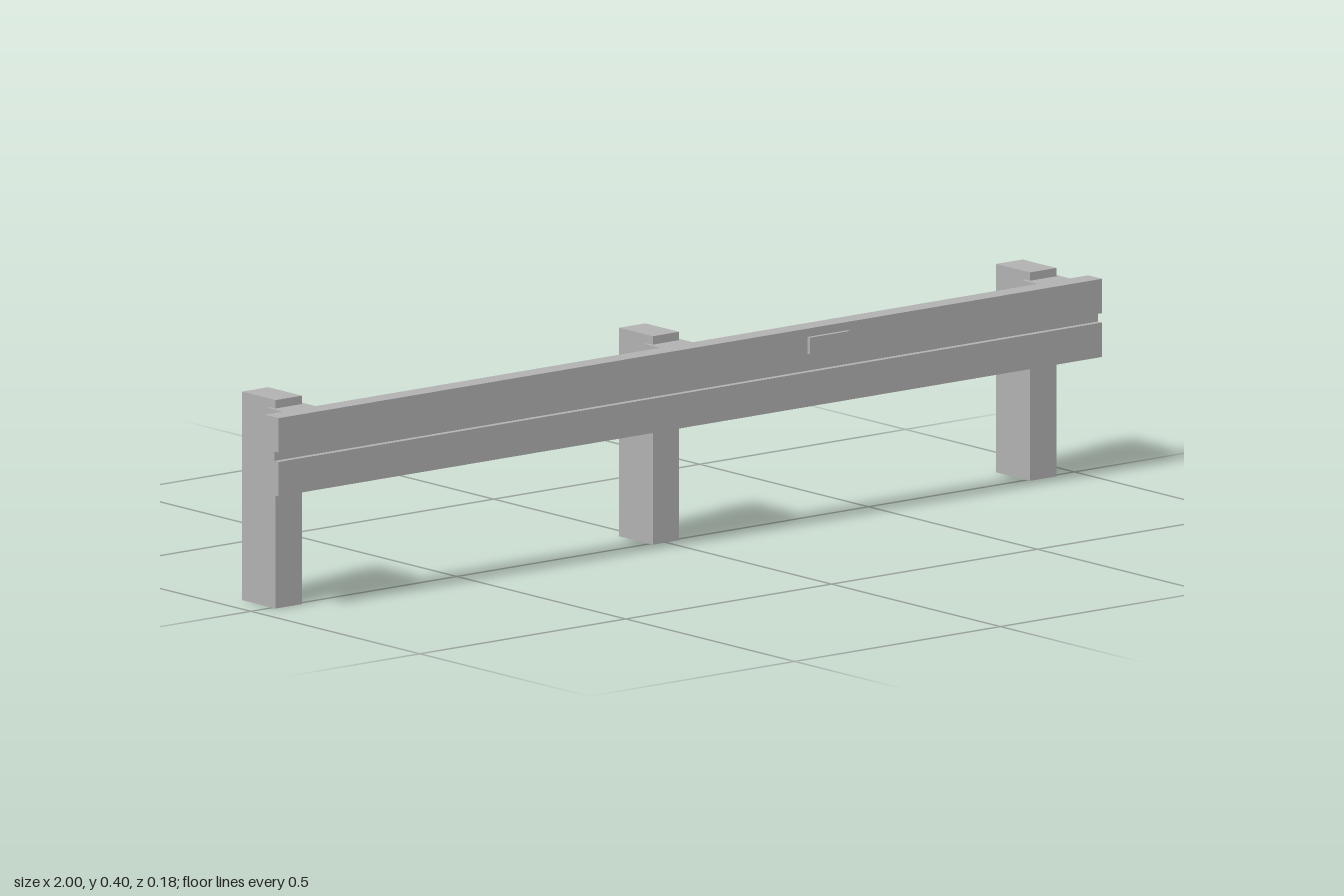
import * as THREE from 'three';

export function createModel() {
  const model = new THREE.Group();
  const grey = new THREE.MeshStandardMaterial({ color: 0xb2b2b2 });
  grey.name = 'plain grey';

  // Box given by its minimum and maximum corners
  function box(name, [x0, y0, z0], [x1, y1, z1], parent = model) {
    const mesh = new THREE.Mesh(new THREE.BoxGeometry(x1 - x0, y1 - y0, z1 - z0), grey);
    mesh.position.set((x0 + x1) / 2, (y0 + y1) / 2, (z0 + z1) / 2);
    mesh.name = name;
    parent.add(mesh);
  }

  // Rail section as (z, y): groove along the front, matching ridge along the back
  const section = new THREE.Shape([
    [0.082, 0.234], [0.082, 0.3], [0.07, 0.3], [0.07, 0.318], [0.082, 0.318], [0.082, 0.384],
    [0.041, 0.384], [0.041, 0.322], [0.035, 0.32], [0.035, 0.301], [0.041, 0.298], [0.041, 0.234],
  ].map(([z, y]) => new THREE.Vector2(z, y)));
  const railGeometry = new THREE.ExtrudeGeometry(section, { depth: 2, bevelEnabled: false });
  railGeometry.rotateY(-Math.PI / 2); // z of the section to +z, length to -x
  railGeometry.translate(1, 0, 0);
  const rail = new THREE.Mesh(railGeometry, grey);
  rail.name = 'rail';
  model.add(rail);

  // Posts, each with a spacer block carrying the rail
  for (const x of [-0.916, 0, 0.916]) {
    const support = new THREE.Group();
    support.name = 'support';
    support.position.x = x;
    box('post', [-0.032, 0, -0.09], [0.032, 0.4, 0.01], support);
    box('spacerBlock', [-0.04, 0.234, -0.005], [0.04, 0.384, 0.041], support);
    model.add(support);
  }

  // Small marker plate on the upper front face
  box('markerPlate', [0.284, 0.336, 0.081], [0.382, 0.368, 0.09]);

  return model;
}
